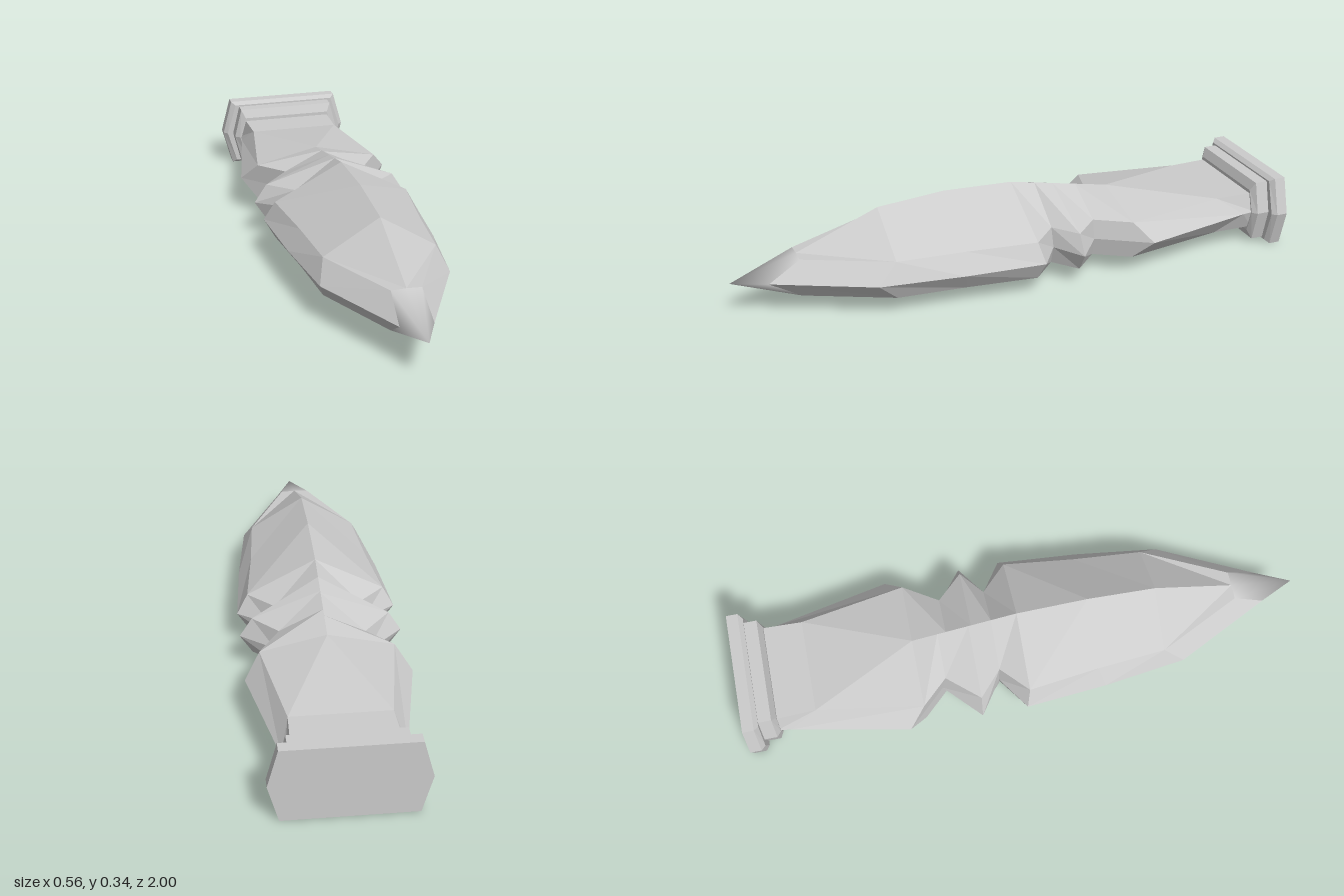
import * as THREE from 'three';

const MID = 0.13, TOP = 0.198, BOTTOM = 0.063;

// Height of the central ridge along the length: [z, y]
const RIDGE = [[-0.9, 0.198], [-0.75, 0.198], [-0.38, 0.25], [-0.01, 0.325], [0.24, 0.335], [0.48, 0.316], [0.77, 0.2]];

function ridgeY(z) {
  for (let i = 1; i < RIDGE.length; i++) {
    const [z0, y0] = RIDGE[i - 1], [z1, y1] = RIDGE[i];
    if (z <= z1) return y0 + (y1 - y0) * (z - z0) / (z1 - z0);
  }
  return RIDGE[RIDGE.length - 1][1];
}

// Stations of one half: [edge x, edge z, deck x, deck z]
const GRIP = [[0.19, -0.9, 0.17, -0.9], [0.195, -0.85, 0.165, -0.75], [0.278, -0.44, 0.225, -0.38]];
const BLADE = [[0.278, -0.025, 0.24, -0.01], [0.255, 0.26, 0.21, 0.24], [0.217, 0.55, 0.19, 0.48], [0.055, 0.88, 0.05, 0.77]];
const NOTCHES = {
  left: [[0.165, -0.26, 0.15, -0.26], [0.278, -0.17, 0.235, -0.17], [0.17, -0.1, 0.15, -0.1]],
  right: [[0.15, -0.305, 0.14, -0.29], [0.278, -0.185, 0.235, -0.18], [0.16, -0.105, 0.145, -0.1]],
};

function makeGeometry(points, index) {
  const g = new THREE.BufferGeometry();
  g.setAttribute('position', new THREE.Float32BufferAttribute(points.flat(), 3));
  g.setIndex(index);
  g.computeVertexNormals();
  return g;
}

// Skin between equal rows of points; flip reverses the facing
function skin(rows, flip) {
  const n = rows[0].length, index = [];
  for (let i = 0; i < rows.length - 1; i++) {
    for (let j = 0; j < n - 1; j++) {
      const a = i * n + j, b = a + 1, c = a + n, d = c + 1;
      if (flip) index.push(a, b, c, b, d, c);
      else index.push(a, c, b, b, c, d);
    }
  }
  return makeGeometry(rows.flat(), index);
}

// Half of the body: ridge, deck edge, side edge, bottom edge, centre line
function halfBody(side, notches) {
  const rows = [...GRIP, ...notches, ...BLADE].map(([mx, mz, tx, tz]) => [
    [0, ridgeY(tz), tz],
    [side * tx, TOP, tz],
    [side * mx, MID, mz],
    [side * tx, BOTTOM, tz],
    [0, BOTTOM, tz],
  ]);
  return skin(rows, side < 0);
}

// Smooth pointed end, a fan around the tip
function tipGeometry() {
  const ring = [
    [0, 0.2, 0.77], [0.05, TOP, 0.77], [0.055, MID, 0.88], [0.05, BOTTOM, 0.77],
    [0, BOTTOM, 0.77], [-0.05, BOTTOM, 0.77], [-0.055, MID, 0.88], [-0.05, TOP, 0.77],
  ];
  const index = [];
  for (let i = 0; i < 8; i++) index.push(i, 8, (i + 1) % 8);
  return makeGeometry([...ring, [0, MID, 1]], index);
}

// Six-sided plate from sections [z, half width at top, half width at middle, half height]
function plateGeometry(sections) {
  const rows = sections.map(([z, t, m, h]) => {
    const ring = [[t, h], [m, 0], [t, -h], [-t, -h], [-m, 0], [-t, h], [t, h]];
    return ring.map(([x, y]) => [x, MID + y, z]);
  });
  const ends = [sections[0][0], sections[sections.length - 1][0]];
  const cap = (z) => rows[0].map(() => [0, MID, z]);
  return skin([cap(ends[0]), ...rows, cap(ends[1])], false);
}

export function createModel() {
  const group = new THREE.Group();
  const flat = new THREE.MeshStandardMaterial({ color: 0xcccccc, flatShading: true });
  const smooth = new THREE.MeshStandardMaterial({ color: 0xcccccc });
  const add = (name, geometry, material = flat) => {
    const mesh = new THREE.Mesh(geometry, material);
    mesh.name = name;
    group.add(mesh);
  };

  add('leftBody', halfBody(1, NOTCHES.left));
  add('rightBody', halfBody(-1, NOTCHES.right));
  add('tip', tipGeometry(), smooth);

  // Stepped end cap
  add('endPlate', plateGeometry([
    [-1, 0.215, 0.25, 0.13], [-0.96, 0.215, 0.25, 0.13], [-0.945, 0.2, 0.235, 0.118],
  ]));
  add('collar', plateGeometry([
    [-0.95, 0.185, 0.213, 0.112], [-0.9, 0.185, 0.213, 0.112], [-0.885, 0.17, 0.195, 0.08],
  ]));
  return group;
}
